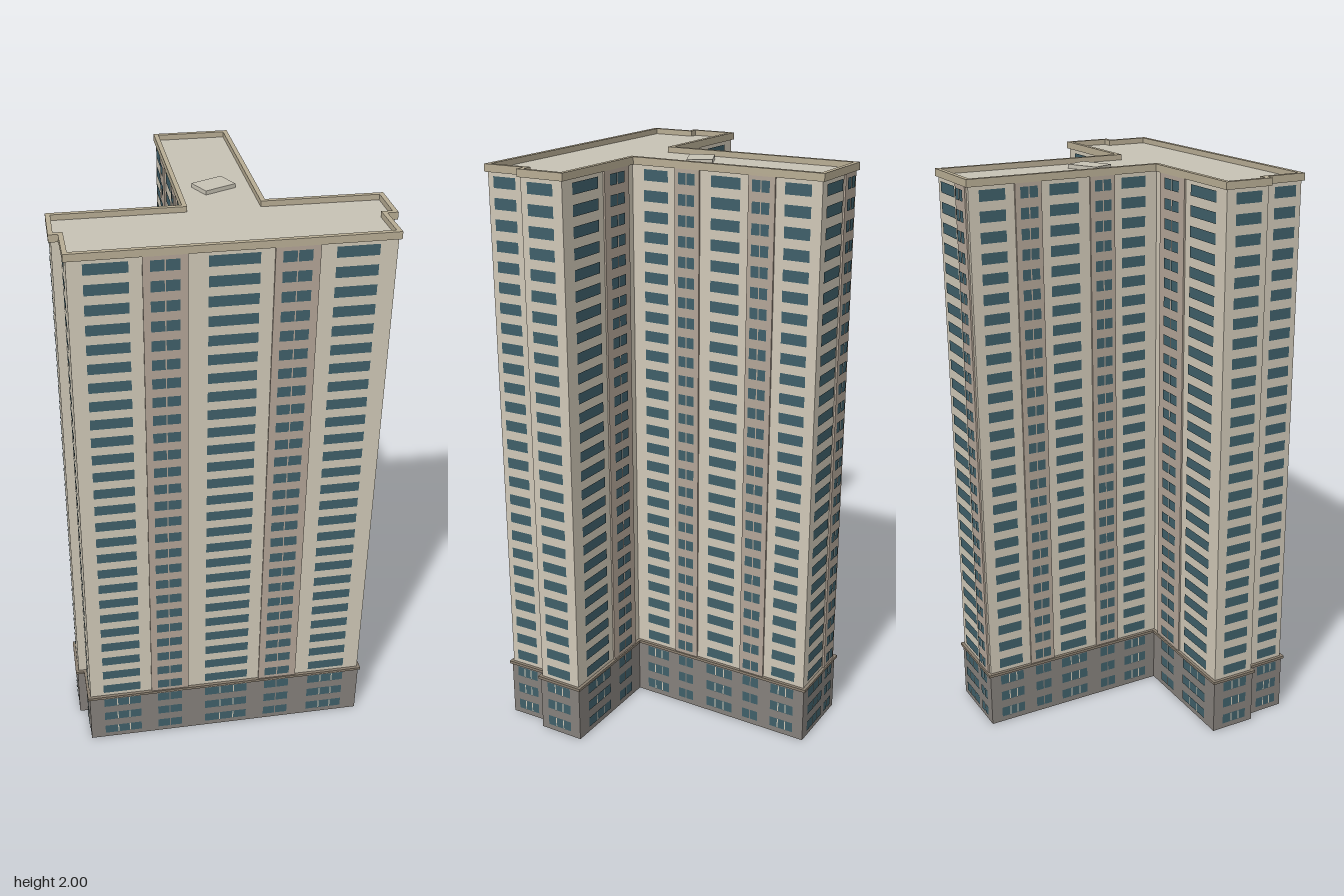
import * as THREE from 'three';
import { mergeGeometries } from 'three/addons/utils/BufferGeometryUtils.js';

const mat = (name, color) => new THREE.MeshStandardMaterial({ name, color });

// Footprint corners as (x, z)
const PLAN = [
  [-0.555, 0.15], [0.39, 0.588], [0.45, 0.45], [0.483, 0.465], [0.555, 0.31], [0.2, 0.14],
  [0.49, -0.475], [0.245, -0.59], [-0.05, 0.03], [-0.445, -0.155], [-0.52, 0.0], [-0.492, 0.013],
];

// Move every edge inwards by d and intersect neighbours
function inset(d) {
  const n = PLAN.length;
  const edge = (i) => {
    const [ax, az] = PLAN[i % n], [bx, bz] = PLAN[(i + 1) % n];
    const l = Math.hypot(bx - ax, bz - az), ux = (bx - ax) / l, uz = (bz - az) / l;
    return { x: ax + uz * d, z: az - ux * d, ux, uz };
  };
  return PLAN.map((_, i) => {
    const p = edge(i + n - 1), q = edge(i);
    const t = ((q.x - p.x) * q.uz - (q.z - p.z) * q.ux) / (p.ux * q.uz - p.uz * q.ux);
    return [p.x + p.ux * t, p.z + p.uz * t];
  });
}

const toPoints = (pts) => pts.map(([x, z]) => new THREE.Vector2(x, -z));

// Upright prism of the footprint, optionally hollow
function prism(d, y0, y1, holeInset) {
  const shape = new THREE.Shape(toPoints(inset(d)));
  if (holeInset) shape.holes.push(new THREE.Path(toPoints(inset(holeInset)).reverse()));
  const g = new THREE.ExtrudeGeometry(shape, { depth: y1 - y0, bevelEnabled: false });
  return g.rotateX(-Math.PI / 2).translate(0, y0, 0);
}

// Bays along each wall as fractions: wide windows, and narrow ones on tan strips
const LONG = {
  wide: [[0.055, 0.188], [0.423, 0.577], [0.805, 0.937]],
  strip: [[0.228, 0.362, 0.25, 0.338], [0.62, 0.757, 0.642, 0.732]],
};
const SHORT = { wide: [[0.147, 0.5]], strip: [[0.58, 0.94, 0.65, 0.86]] };
const END = { wide: [[0.13, 0.57]], strip: [[0.62, 0.92, 0.66, 0.87]] };
const SINGLE = { wide: [[0.2, 0.76]], strip: [] };
const mirror = (f) => ({
  wide: f.wide.map(([a, b]) => [1 - b, 1 - a]),
  strip: f.strip.map(([a, b, c, e]) => [1 - b, 1 - a, 1 - e, 1 - c]),
});
const FACADES = {
  0: LONG, 1: SINGLE, 3: SINGLE, 4: SHORT, 5: LONG, 6: END,
  7: mirror(LONG), 8: mirror(SHORT), 9: mirror(SINGLE), 11: mirror(SINGLE),
};

export function createModel() {
  const group = new THREE.Group();
  const wallMat = mat('cream wall', 0xd0c8b7);
  const tanMat = mat('tan strip', 0xb3a597);
  const baseMat = mat('grey base', 0x85807b);
  const glassMat = mat('window glass', 0x3f5f69);
  const trimMat = mat('brown trim', 0x8a7f70);
  const roofMat = mat('roof', 0xc7c2b4);
  const parapetMat = mat('parapet', 0xb8ad94);
  const add = (name, geo, material) => {
    const m = new THREE.Mesh(geo, material);
    m.name = name;
    group.add(m);
  };

  // Main volumes
  const BASE_TOP = 0.2, WALL_TOP = 1.975;
  add('base', prism(0.004, 0, BASE_TOP), baseMat);
  add('baseTrim', prism(-0.003, BASE_TOP, 0.21), trimMat);
  add('tower', prism(0.008, 0.21, WALL_TOP), wallMat);
  add('roofSlab', prism(0.004, WALL_TOP, 1.981), roofMat);
  add('parapet', prism(0, WALL_TOP, 2, 0.016), parapetMat);
  const hatch = new THREE.BoxGeometry(0.12, 0.014, 0.085);
  add('roofHatch', hatch.translate(0.15, 1.988, -0.077), roofMat);

  // Windows and strips, gathered by kind
  const glass = [], strips = [], mullions = [];
  const ROWS = 29, PITCH = 0.068, FIRST = 0.04, HEIGHT = 0.037;
  for (const [key, facade] of Object.entries(FACADES)) {
    const i = Number(key);
    const [ax, az] = PLAN[i], [bx, bz] = PLAN[(i + 1) % PLAN.length];
    const length = Math.hypot(bx - ax, bz - az);
    const frame = new THREE.Matrix4().makeRotationY(-Math.atan2(bz - az, bx - ax)).setPosition(ax, 0, az);
    // Flat pane on this wall, "out" measured from the footprint edge
    const pane = (list, a, b, y, h, out) => list.push(new THREE.PlaneGeometry(b - a, h)
      .translate((a + b) / 2, y, out).applyMatrix4(frame));

    for (const [a, b] of facade.strip) {
      const h = WALL_TOP - 0.21;
      strips.push(new THREE.BoxGeometry((b - a) * length, h, 0.008)
        .translate((a + b) / 2 * length, 0.21 + h / 2, -0.006).applyMatrix4(frame));
    }
    for (let r = 0; r < ROWS; r++) {
      const y = FIRST + r * PITCH, low = y < BASE_TOP;
      for (const [f0, f1] of facade.wide) {
        const a = f0 * length, b = f1 * length;
        pane(glass, a, b, y, HEIGHT, low ? -0.001 : -0.005);
        // Light glazing bars on the lowest storeys
        if (low) for (const t of [0.36, 0.68]) {
          const x = a + (b - a) * t;
          pane(mullions, x - 0.002, x + 0.002, y, HEIGHT, 0.001);
        }
      }
      for (const [, , f0, f1] of facade.strip) {
        const a = f0 * length, b = f1 * length, m = a + (b - a) * 0.5;
        const out = low ? -0.001 : 0.001;
        pane(glass, a, m - 0.002, y, HEIGHT, out);
        pane(glass, m + 0.002, b, y, HEIGHT, out);
      }
    }
  }
  add('tanStrips', mergeGeometries(strips), tanMat);
  add('windows', mergeGeometries(glass), glassMat);
  add('glazingBars', mergeGeometries(mullions), wallMat);
  return group;
}
